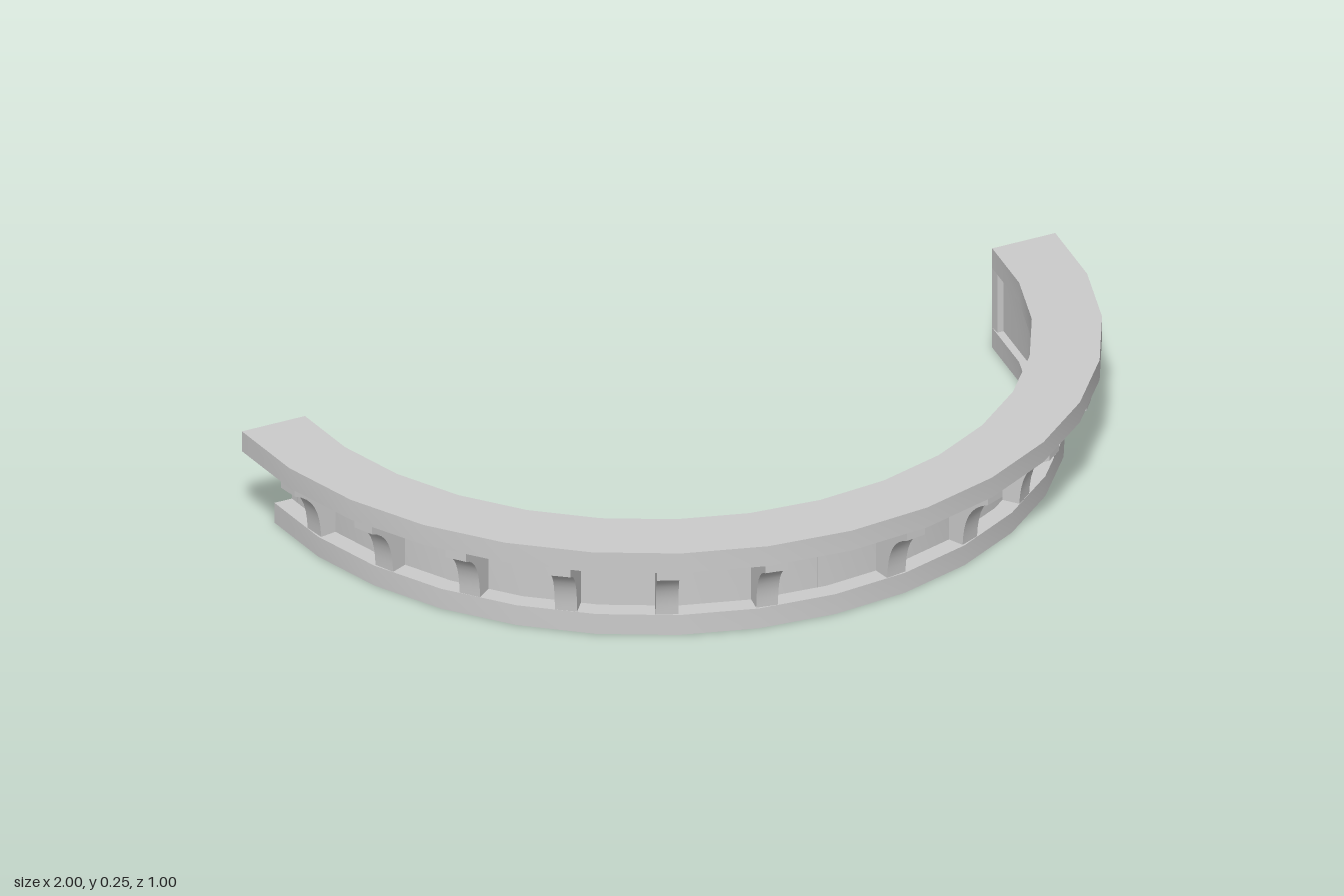
import * as THREE from 'three';
import { toCreasedNormals } from 'three/addons/utils/BufferGeometryUtils.js';

const SEGMENTS = 16;       // facets around the half circle
const CENTRE_Z = -0.5;     // centre of the arc

export function createModel() {
  const model = new THREE.Group();
  model.name = 'halfRingCornice';
  const arc = new THREE.Group();
  arc.name = 'arc';
  arc.position.z = CENTRE_Z;
  model.add(arc);
  const material = new THREE.MeshStandardMaterial({ color: 0xcccccc });

  const add = (name, geometry) => {
    const mesh = new THREE.Mesh(geometry, material);
    mesh.name = name;
    arc.add(mesh);
    return mesh;
  };

  // Half ring of rectangular section, bulging towards +z
  const halfRing = (name, inner, outer, y0, y1) => {
    const points = [];
    const ring = (r, i) => {
      const a = (Math.PI * i) / SEGMENTS;
      points.push(new THREE.Vector2(r * Math.cos(a), r * Math.sin(a)));
    };
    for (let i = 0; i <= SEGMENTS; i++) ring(outer, i);
    for (let i = SEGMENTS; i >= 0; i--) ring(inner, i);
    const geometry = new THREE.ExtrudeGeometry(new THREE.Shape(points), {
      depth: y1 - y0, bevelEnabled: false,
    });
    geometry.rotateX(Math.PI / 2);
    geometry.translate(0, y1, 0);
    return add(name, toCreasedNormals(geometry, 0.5));
  };

  halfRing('topFlange', 0.845, 1, 0.2, 0.25);
  halfRing('bottomFlange', 0.845, 0.92, 0, 0.05);
  halfRing('web', 0.863, 0.877, 0.05, 0.2);

  // Curved bracket: profile in (radius, height), extruded to its thickness
  const thickness = 0.05;
  const profile = new THREE.Shape();
  profile.moveTo(0.868, 0.05);
  profile.lineTo(0.915, 0.05);
  profile.bezierCurveTo(0.918, 0.115, 0.935, 0.155, 0.988, 0.176);
  profile.lineTo(0.988, 0.2);
  profile.lineTo(0.868, 0.2);
  profile.closePath();
  const bracket = new THREE.ExtrudeGeometry(profile, {
    depth: thickness, bevelEnabled: false, curveSegments: 8,
  });
  bracket.translate(0, 0, -thickness / 2);
  bracket.rotateY(-Math.PI / 2); // radius now runs along +z
  const bracketGeometry = toCreasedNormals(bracket, 0.5);

  // Six brackets on each quarter, mirrored about the middle
  for (const side of [-1, 1]) {
    for (let i = 0; i < 6; i++) {
      const angle = side * THREE.MathUtils.degToRad(10 + 14 * i);
      add('bracket', bracketGeometry).rotation.y = angle;
    }
  }

  // Inner posts closing the web at the middle and at both ends
  const post = (name, width, x, z, alongX) => {
    const depth = 0.03;
    const geometry = new THREE.BoxGeometry(
      alongX ? width : depth, 0.15, alongX ? depth : width);
    add(name, geometry).position.set(x, 0.125, z);
  };
  post('middlePost', 0.045, 0, 0.86, true);
  for (const side of [-1, 1]) post('endPost', 0.025, side * 0.86, 0.0125, false);

  return model;
}
